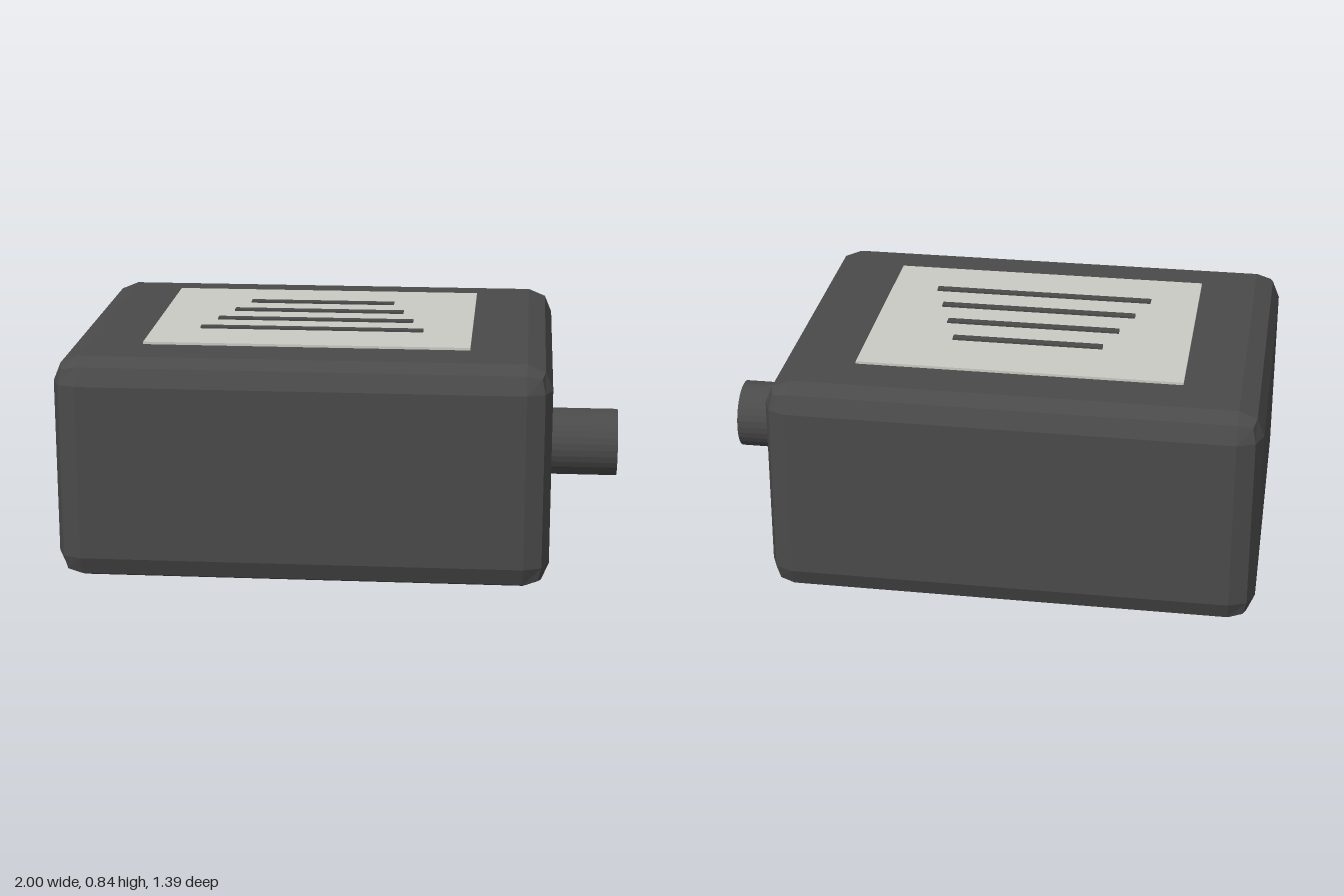
import * as THREE from 'three';
import { RoundedBoxGeometry } from 'three/addons/geometries/RoundedBoxGeometry.js';

export function createModel() {
  const model = new THREE.Group();
  model.name = 'ventedBox';

  const charcoal = new THREE.MeshStandardMaterial({ color: 0x4a4a4a, flatShading: true });
  charcoal.name = 'charcoal';
  const paleGrey = new THREE.MeshStandardMaterial({ color: 0xcacac4, flatShading: true });
  paleGrey.name = 'paleGrey';

  const add = (name, geometry, material, x, y, z) => {
    const mesh = new THREE.Mesh(geometry, material);
    mesh.name = name;
    mesh.position.set(x, y, z);
    model.add(mesh);
    return mesh;
  };

  // Housing with two-facet rounded edges
  add('housing', new RoundedBoxGeometry(1.75, 0.81, 1.39, 1, 0.09), charcoal, -0.125, 0.405, 0);

  // Round stub on the left side, sunk slightly into the housing
  const stub = add('sideStub', new THREE.CylinderGeometry(0.125, 0.125, 0.27, 32), charcoal, 0.865, 0.362, 0);
  stub.rotation.z = -Math.PI / 2;

  // Thin pale panel on top
  add('topPanel', new THREE.BoxGeometry(1.165, 0.009, 0.89), paleGrey, -0.125, 0.8205, 0);

  // Four bars, each longer towards the front
  for (let i = 0; i < 4; i++) {
    add(`panelBar${i + 1}`, new THREE.BoxGeometry(0.545 + i * 0.089, 0.007, 0.032), charcoal,
      -0.125, 0.8325, -0.206 + i * 0.144);
  }

  return model;
}
